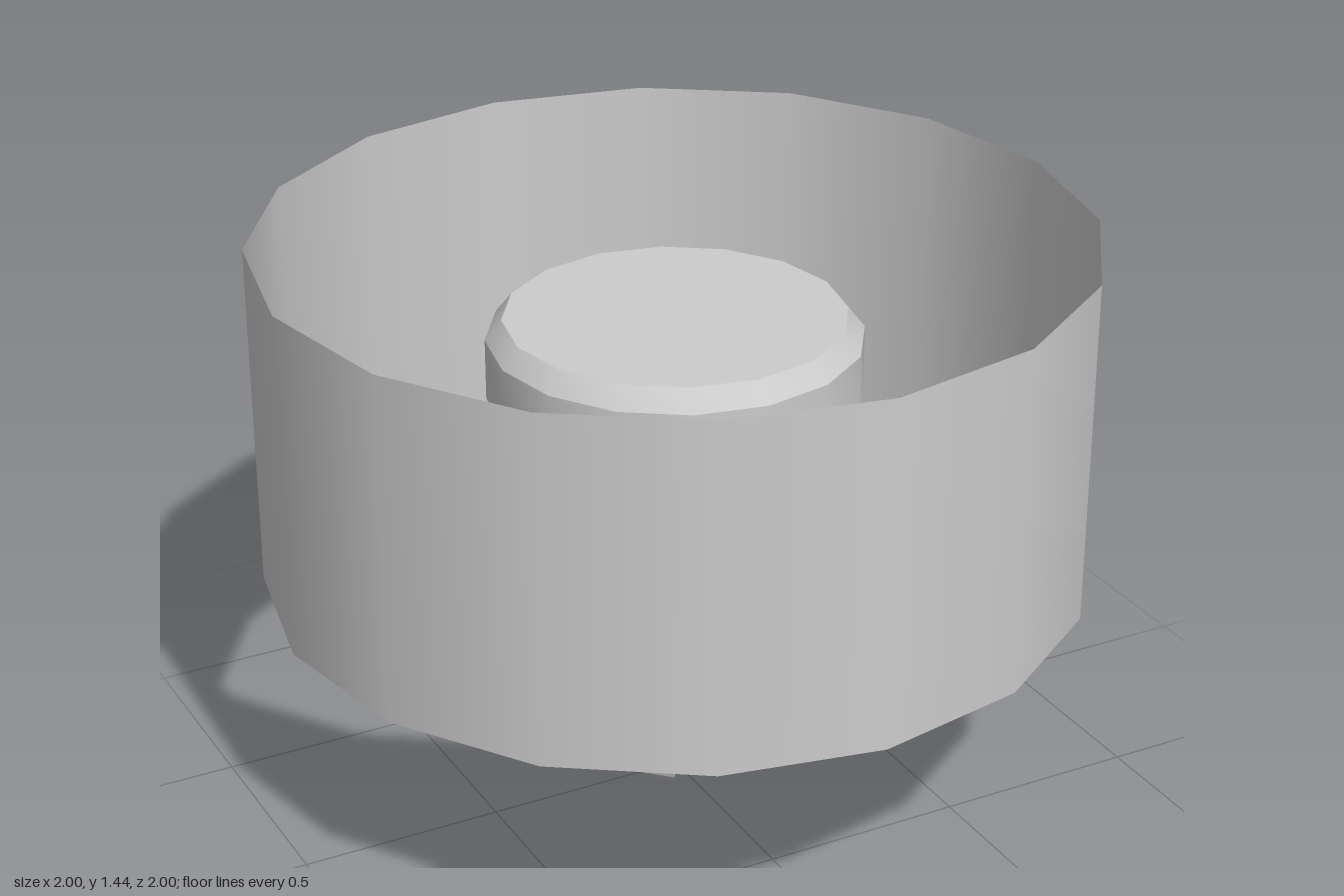
import * as THREE from 'three';
import { toCreasedNormals } from 'three/addons/utils/BufferGeometryUtils.js';

const SIDES = 16;
const smooth = new THREE.MeshStandardMaterial({ color: 0xcccccc });
const open = new THREE.MeshStandardMaterial({ color: 0xcccccc, side: THREE.DoubleSide });

function part(name, geometry, material = smooth) {
  const mesh = new THREE.Mesh(geometry, material);
  mesh.name = name;
  return mesh;
}

// Turned part from [radius, height] pairs, bottom to top, with sharp bevels
function turned(points) {
  const profile = points.map(([r, y]) => new THREE.Vector2(r, y));
  return toCreasedNormals(new THREE.LatheGeometry(profile, SIDES), 0.5);
}

// Closed solid through a stack of equal-length rings of [x, y, z] corners
function loft(rings, crease = 0.5) {
  const n = rings[0].length, index = [];
  for (let i = 0; i < rings.length - 1; i++) {
    for (let j = 0; j < n; j++) {
      const a = i * n + j, b = i * n + (j + 1) % n;
      index.push(a, a + n, b, b, a + n, b + n);
    }
  }
  const last = (rings.length - 1) * n;
  for (let j = 1; j < n - 1; j++) {
    index.push(0, j, j + 1, last, last + j + 1, last + j);
  }
  const geometry = new THREE.BufferGeometry();
  geometry.setAttribute('position', new THREE.Float32BufferAttribute(rings.flat(2), 3));
  geometry.setIndex(index);
  geometry.computeVertexNormals();
  return toCreasedNormals(geometry, crease);
}

// Square with cut corners, half width h, at height y
function squareRing(h, y) {
  const c = h * 0.87;
  return [[h, c], [h, -c], [c, -h], [-c, -h], [-h, -c], [-h, c], [-c, h], [c, h]]
    .map(([x, z]) => [x, y, z]).reverse();
}

// One curved finger reaching along +x: [radius, height, half width] stations
function fingerGeometry() {
  const stations = [
    [0.06, 0.29, 0.05], [0.13, 0.275, 0.055], [0.163, 0.215, 0.055],
    [0.18, 0.155, 0.054], [0.155, 0.06, 0.045], [0.085, 0.005, 0.018],
  ];
  const rings = stations.map(([r, y, w], i) => {
    const p = stations[Math.max(i - 1, 0)], q = stations[Math.min(i + 1, 5)];
    const inward = new THREE.Vector2(q[1] - p[1], p[0] - q[0]).normalize().multiplyScalar(0.022);
    const x = r + inward.x, h = Math.max(y + inward.y, 0);
    return [[r, y, -w], [x, h, -w], [x, h, w], [r, y, w]];
  });
  return loft(rings, 0.6);
}

export function createModel() {
  const model = new THREE.Group();
  model.name = 'hangingClaw';

  // Thin open ring around the carriage
  const shroud = new THREE.CylinderGeometry(1, 1, 0.855, SIDES, 1, true);
  shroud.translate(0, 1.0125, 0);
  model.add(part('outerShroud', shroud, open));

  // Two bevelled discs with a groove between them
  model.add(part('carriage', turned([
    [0, 0.8], [0.41, 0.8], [0.45, 0.85], [0.45, 0.93], [0.41, 0.97],
    [0.41, 1.0], [0.45, 1.04], [0.45, 1.19], [0.41, 1.24], [0, 1.24],
  ])));

  // Hollow hub the cables come out of
  model.add(part('cableHub', turned([
    [0, 0.73], [0.13, 0.73], [0.145, 0.7], [0.16, 0.7], [0.2, 0.74], [0.2, 0.81],
  ])));

  // Slightly twisted loose cables
  const cables = new THREE.Group();
  cables.name = 'cables';
  for (let i = 0; i < 6; i++) {
    const a = (i / 6) * Math.PI * 2 + 0.35;
    const path = [[0.045, 0.51, 0], [0.075, 0.57, 0.2], [0.095, 0.64, 0.5], [0.08, 0.735, 0.9]]
      .map(([r, y, t]) => new THREE.Vector3(r * Math.cos(a + t), y, r * Math.sin(a + t)));
    cables.add(part('cable', new THREE.TubeGeometry(new THREE.CatmullRomCurve3(path), 10, 0.008, 5)));
  }
  model.add(cables);

  // Bevelled square block that holds the fingers
  model.add(part('clawHead', loft([
    squareRing(0.045, 0.25), squareRing(0.07, 0.285), squareRing(0.118, 0.315),
    squareRing(0.118, 0.48), squareRing(0.08, 0.52),
  ])));

  // Four fingers on the diagonals
  const finger = fingerGeometry();
  for (let i = 0; i < 4; i++) {
    const mesh = part('finger', finger, open);
    mesh.rotation.y = Math.PI / 4 + i * Math.PI / 2;
    model.add(mesh);
  }
  return model;
}
